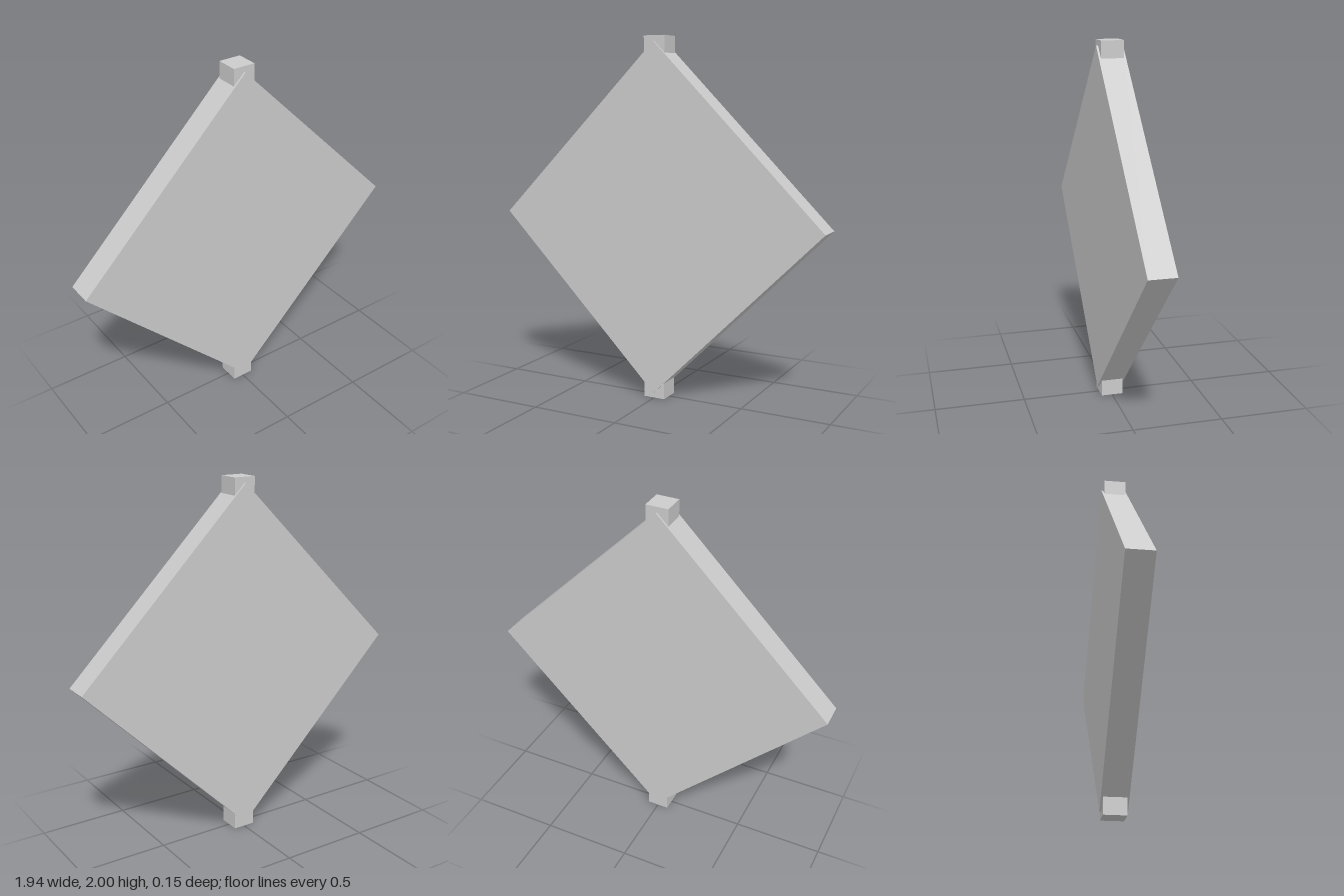
import * as THREE from 'three';

export function createModel() {
  const group = new THREE.Group();
  const material = new THREE.MeshStandardMaterial({ color: 0xcccccc, flatShading: true });

  const addBox = (name, width, height, depth, y) => {
    const mesh = new THREE.Mesh(new THREE.BoxGeometry(width, height, depth), material);
    mesh.name = name;
    mesh.position.y = y;
    group.add(mesh);
    return mesh;
  };

  // Square panel standing on its corner
  const side = 0.97 * Math.SQRT2;
  addBox('diamondPanel', side, side, 0.146, 1).rotation.z = Math.PI / 4;

  // Small cubes capping the top and bottom corners
  const cube = 0.124;
  addBox('topMount', cube, cube, cube, 2 - cube / 2);
  addBox('bottomMount', cube, cube, cube, cube / 2);

  return group;
}
